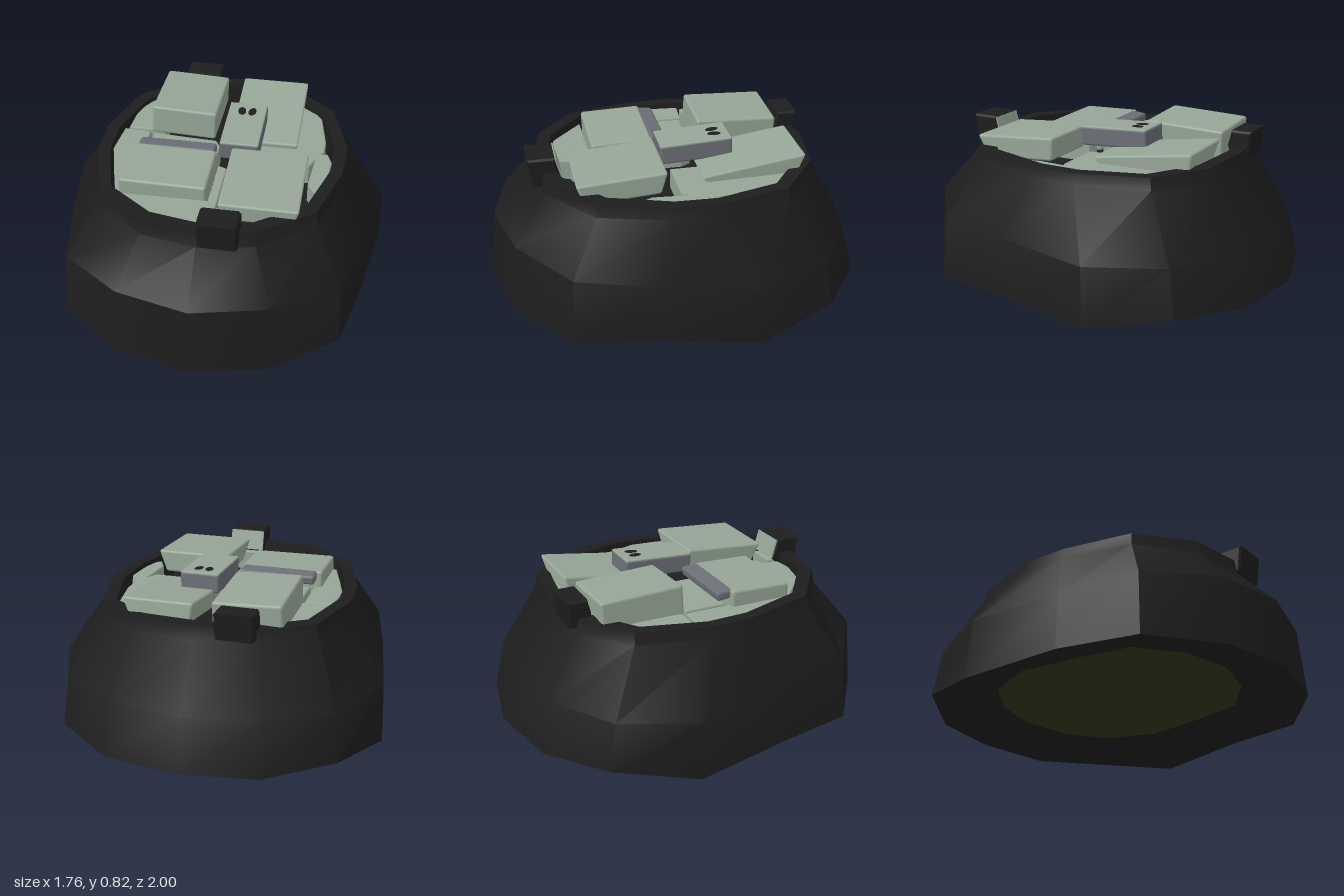
import * as THREE from 'three';
import { toCreasedNormals } from 'three/addons/utils/BufferGeometryUtils.js';
import { RoundedBoxGeometry } from 'three/addons/geometries/RoundedBoxGeometry.js';

const mat = (name, color) => {
  const m = new THREE.MeshStandardMaterial({ color });
  m.name = name;
  return m;
};

// Half outline [x, y, z] running front to back, mirrored into a full ring
const ring = half => [...half, ...half.slice(1, -1).reverse().map(([x, y, z]) => [-x, y, z])];
const scaled = (r, s, y) => r.map(p => [p[0] * s, y ?? p[1], p[2] * s]);

// Surface through successive closed rings
function loft(rings) {
  const n = rings[0].length, index = [];
  for (let i = 0; i < rings.length - 1; i++) {
    for (let j = 0; j < n; j++) {
      const k = (j + 1) % n;
      const a = i * n + j, b = i * n + k, c = b + n, d = a + n;
      index.push(a, b, c, a, c, d);
    }
  }
  const g = new THREE.BufferGeometry();
  g.setAttribute('position', new THREE.Float32BufferAttribute(rings.flat(2), 3));
  g.setIndex(index);
  return toCreasedNormals(g, 0.6);
}

// Rounded box narrowing towards its underside
function taperedBox(w, h, d, taper) {
  const g = new RoundedBoxGeometry(w, h, d, 3, .015);
  const p = g.attributes.position;
  for (let i = 0; i < p.count; i++) {
    const s = 1 - taper * (.5 - p.getY(i) / h);
    p.setX(i, p.getX(i) * s);
    p.setZ(i, p.getZ(i) * s);
  }
  return g;
}

const shapeOf = pts => new THREE.Shape(pts.map(([x, y]) => new THREE.Vector2(x, y)));

export function createModel() {
  const group = new THREE.Group();
  const black = mat('black rubber', 0x1d1d1d);
  const pale = mat('pale green', 0x95a596);
  const grey = mat('slate grey', 0x6b6e76);
  const olive = mat('dark olive', 0x32351a);

  const add = (name, geo, material, parent = group) => {
    const m = new THREE.Mesh(geo, material);
    m.name = name;
    parent.add(m);
    return m;
  };

  // Faceted shell: underside lip, skirt, shoulder, rim, inner wall
  const bottom = ring([[0, .03, 1], [.39, .03, .91], [.72, .03, .65], [.81, .04, .23],
    [.88, 0, -.28], [.72, .065, -.69], [.4, .05, -.92], [0, .06, -1]]);
  const shoulder = ring([[0, .4, .97], [.38, .4, .88], [.7, .37, .63], [.79, .34, .22],
    [.87, .31, -.27], [.7, .31, -.65], [.38, .32, -.86], [0, .32, -.92]]);
  const rim = ring([[0, .71, .74], [.28, .71, .69], [.55, .7, .48], [.65, .69, .12],
    [.66, .69, -.12], [.56, .69, -.48], [.32, .7, -.67], [0, .71, -.72]]);
  const hole = scaled(bottom, .66, .12);
  add('shell', loft([hole, scaled(bottom, .92), bottom, shoulder, scaled(rim, 1.02, .63),
    rim, scaled(rim, .9), scaled(rim, .88, .56)]), black);

  // Flat plates closing the underside and the cavity
  const plate = (name, r, y, material, turn) => {
    const g = new THREE.ShapeGeometry(shapeOf(r.map(p => [p[0], p[2] * turn])));
    g.rotateX(turn * Math.PI / 2).translate(0, y, 0);
    add(name, g, material);
  };
  plate('undersidePlate', hole, .12, olive, 1);
  plate('cavityFloor', scaled(rim, .88), .56, black, -1);

  // Olive strips glimpsed in two of the gaps
  for (const [x, z, w, d] of [[-.02, -.5, .04, .24], [.06, .45, .02, .2]]) {
    add('oliveStrip', new THREE.BoxGeometry(w, .008, d), olive).position.set(x, .565, z);
  }

  // Low filler pieces between the blocks, outlined in x and z
  const fillers = [
    [[-.55, -.16], [-.54, -.35], [-.43, -.55], [-.35, -.55], [-.35, -.16]],
    [[-.57, -.15], [-.42, -.14], [-.42, .42], [-.48, .42], [-.53, .25], [-.585, .05]],
    [[-.46, .44], [0, .43], [0, .12], [.05, .14], [.05, .54], [0, .55], [-.01, .64], [-.12, .65], [-.27, .61]],
    [[.03, .6], [.19, .6], [.15, .65], [.02, .66]],
    [[.06, -.63], [.2, -.62], [.4, -.57], [.5, -.42], [.54, -.2], [.54, -.1], [.47, .05], [.2, .05], [.2, -.5]],
    [[.5, -.07], [.56, -.08], [.59, 0], [.57, .23], [.52, .28], [.48, .2]],
    [[-.4, -.13], [-.05, -.11], [-.02, -.06], [-.02, .09], [-.4, .09]],
  ];
  for (const pts of fillers) {
    const g = new THREE.ExtrudeGeometry(shapeOf(pts.map(([x, z]) => [x, -z])), {
      depth: .1, bevelEnabled: true, bevelThickness: .01, bevelSize: .008, bevelOffset: -.008, bevelSegments: 2,
    });
    add('fillerPiece', g.rotateX(-Math.PI / 2).translate(0, .56, 0), pale);
  }

  // Tilted blocks: x range, z range, top height, thickness, tilts, underside taper
  const block = (name, x0, x1, z0, z1, top, h, tiltX, tiltZ, taper = 0, material = pale) => {
    const m = add(name, taperedBox(x1 - x0, h, z1 - z0, taper), material);
    m.position.set((x0 + x1) / 2, top - h / 2, (z0 + z1) / 2);
    m.rotation.set(tiltX, 0, tiltZ);
  };
  block('backRightBlock', -.415, -.06, -.59, -.15, .805, .16, -.04, -.04);
  block('backLeftBlock', .025, .4, -.63, -.08, .745, .12, .14, 0, .18);
  block('frontRightBlock', -.46, -.01, .1, .43, .748, .14, .03, -.01);
  block('frontRightBlockEdge', -.43, -.02, .03, .12, .752, .05, -.1, 0, 0, grey);
  block('frontLeftBlock', .07, .475, .11, .57, .775, .13, .07, 0, .16);

  // Central control with thin pale cap and two dark marks
  const control = new THREE.Group();
  control.name = 'centralControl';
  control.position.set(.105, .757, -.09);
  control.rotation.x = .05;
  group.add(control);
  add('controlBody', new RoundedBoxGeometry(.205, .1, .38, 3, .012), grey, control);
  add('controlCap', new RoundedBoxGeometry(.203, .014, .378, 3, .006), pale, control).position.y = .047;
  for (const side of [-1, 1]) {
    const mark = add('controlMark', new THREE.CylinderGeometry(.021, .021, .003, 14), black, control);
    mark.position.set(side * .028, .0535, -.11);
    mark.rotation.y = side * -.15;
    mark.scale.z = 1.7;
  }

  // Rim clips, profiled in z and y and extruded across x
  const clip = (name, x0, x1, profile) => {
    const g = new THREE.ExtrudeGeometry(shapeOf(profile), {
      depth: x1 - x0 - .02, bevelThickness: .01, bevelSize: .01, bevelOffset: -.01, bevelSegments: 1,
    });
    add(name, g.rotateY(-Math.PI / 2).translate(x1 - .01, 0, 0), black);
  };
  clip('frontClip', .005, .205, [[.645, .79], [.785, .79], [.765, .64], [.66, .64], [.615, .68]]);
  clip('backClip', -.31, -.11, [[-.62, .79], [-.73, .79], [-.715, .65], [-.62, .65], [-.6, .71]]);

  // Pale lining on the inner face of the front clip
  const lining = add('clipLining', new THREE.BoxGeometry(.195, .11, .008), pale);
  lining.position.set(.105, .733, .627);
  lining.rotation.x = .27;

  return group;
}
